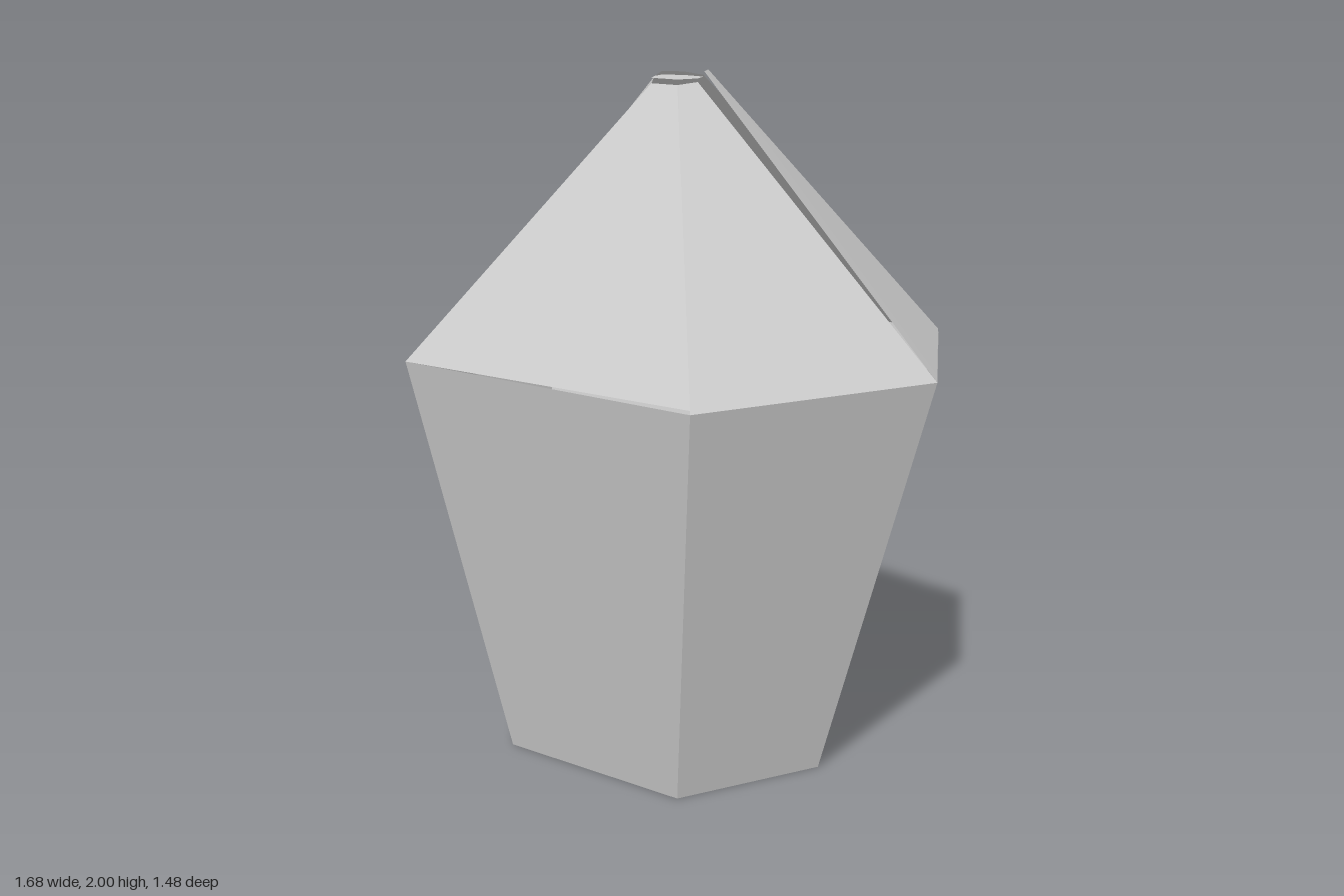
import * as THREE from 'three';

const material = new THREE.MeshStandardMaterial({ color: 0xcccccc, side: THREE.DoubleSide });

// Thin polygon from corners listed counter-clockwise as seen from outside
function panel(name, corners) {
  const geometry = new THREE.BufferGeometry();
  geometry.setAttribute('position', new THREE.Float32BufferAttribute(corners.flat(), 3));
  const index = [];
  for (let i = 1; i < corners.length - 1; i++) index.push(0, i, i + 1);
  geometry.setIndex(index);
  geometry.computeVertexNormals();
  const mesh = new THREE.Mesh(geometry, material);
  mesh.name = name;
  return mesh;
}

export function createModel() {
  const group = new THREE.Group();
  group.name = 'facetedShade';

  // Irregular seven-sided rim where the walls meet the roof
  const rim = [
    [-0.845, 1.21, -0.105], [-0.38, 1.21, -0.625], [0.39, 1.21, -0.74], [0.84, 1.21, -0.31],
    [0.72, 1.21, 0.425], [-0.2, 1.21, 0.74], [-0.61, 1.21, 0.315],
  ];
  // Narrower open foot
  const foot = rim.map(([x, , z]) => [x * 0.625 + 0.01, 0, z * 0.62 + 0.01]);
  // Small ring at the peak
  const peak = [
    [-0.015, 1.99, -0.01], [0.03, 1.99, -0.055], [0.103, 1.985, -0.07], [0.138, 1.97, -0.025],
    [0.133, 1.965, 0.042], [0.048, 1.965, 0.07], [0.005, 1.98, 0.028],
  ];

  // Loosely fitted roof panels: shifted corners as [rim i, rim next, peak i, peak next]
  const shifted = {
    1: [[-0.375, 1.21, -0.615]],
    2: [[0.39, 1.22, -0.737], , [0.113, 2, -0.08], [0.153, 2, -0.036]],
    4: [[0.69, 1.21, 0.4]],
    6: [[-0.595, 1.21, 0.303]],
  };

  const count = rim.length;
  for (let i = 0; i < count; i++) {
    const next = (i + 1) % count;
    group.add(panel('wallPanel', [foot[next], foot[i], rim[i], rim[next]]));

    const [lowA = rim[i], lowB = rim[next], topA = peak[i], topB = peak[next]] = shifted[i] ?? [];
    group.add(panel('roofPanel', [lowB, lowA, topA, topB]));
  }

  // Flat cap closing the peak
  group.add(panel('cap', peak.map(([x, , z]) => [x, 1.98, z]).reverse()));

  return group;
}
